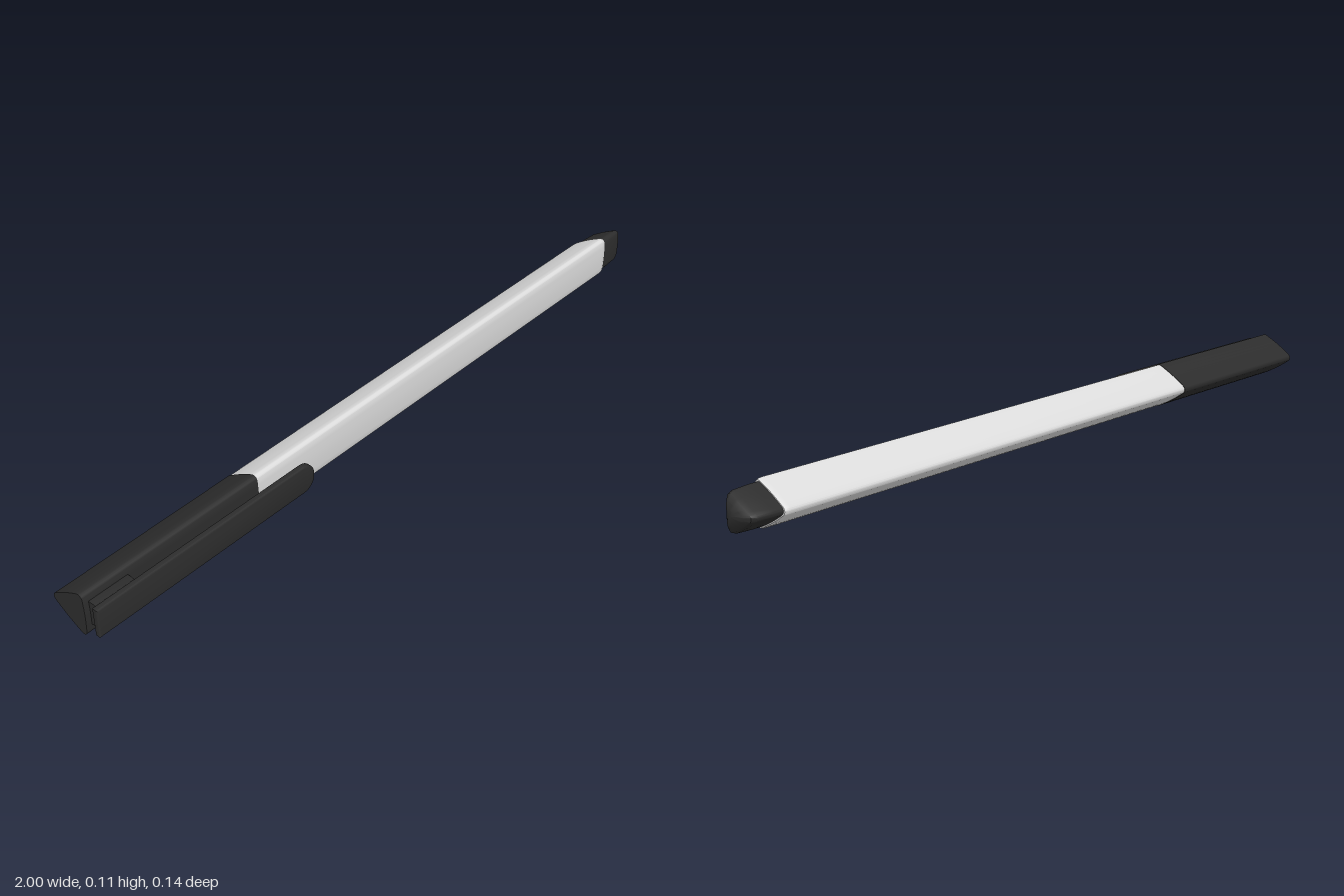
import * as THREE from 'three';
import { toCreasedNormals } from 'three/addons/utils/BufferGeometryUtils.js';

const MID_Y = 0.0575, MID_Z = -0.005;

// Rounded triangle with slightly bulged sides, as [z, y] points about its middle
function triangleOutline(radius = 0.0125, bulge = 0.002) {
  const corners = [[0.0175, 0.1025], [-0.0585, 0.0575], [0.0175, 0.0125]];
  const normalAngle = (a, b) => Math.atan2(-(b[0] - a[0]), b[1] - a[1]);
  const points = [];
  corners.forEach((corner, i) => {
    const prev = corners[(i + 2) % 3], next = corners[(i + 1) % 3];
    const from = normalAngle(prev, corner), to = normalAngle(corner, next);
    const turn = (to - from + Math.PI * 4) % (Math.PI * 2);
    for (let k = 0; k <= 8; k++) {
      const a = from + (turn * k) / 8;
      points.push([corner[0] + radius * Math.cos(a), corner[1] + radius * Math.sin(a)]);
    }
    for (let k = 1; k < 8; k++) {
      const t = k / 8, r = radius + bulge * Math.sin(Math.PI * t);
      points.push([
        corner[0] + (next[0] - corner[0]) * t + r * Math.cos(to),
        corner[1] + (next[1] - corner[1]) * t + r * Math.sin(to),
      ]);
    }
  });
  return points.map(([z, y]) => [z - MID_Z, y - MID_Y]);
}

// Loft the outline along x through [x, scale] stations; scale 0 closes an end
function loft(stations) {
  const outline = triangleOutline(), n = outline.length;
  const positions = [], index = [];
  for (const [x, s] of stations) {
    for (const [z, y] of outline) positions.push(x, MID_Y + y * s, MID_Z + z * s);
  }
  for (let i = 0; i < stations.length - 1; i++) {
    for (let j = 0; j < n; j++) {
      const k = (j + 1) % n;
      const a = i * n + j, b = i * n + k, c = a + n, d = b + n;
      if (stations[i + 1][1] > 0) index.push(c, d, b);
      if (stations[i][1] > 0) index.push(c, b, a);
    }
  }
  const geometry = new THREE.BufferGeometry();
  geometry.setAttribute('position', new THREE.Float32BufferAttribute(positions, 3));
  geometry.setIndex(index);
  return toCreasedNormals(geometry, 0.5);
}

// Flat plate in the xy plane with softened edges and rounded corners at its +x end
function plate(x0, x1, y0, y1, z0, z1, round, bevel) {
  const l = x0 + bevel, r = x1 - bevel, b = y0 + bevel, t = y1 - bevel;
  const shape = new THREE.Shape();
  shape.moveTo(l, b);
  shape.lineTo(r - round, b);
  shape.absarc(r - round, b + round, round, -Math.PI / 2, 0, false);
  shape.absarc(r - round, t - round, round, 0, Math.PI / 2, false);
  shape.lineTo(l, t);
  const geometry = new THREE.ExtrudeGeometry(shape, {
    depth: z1 - z0 - 2 * bevel, bevelEnabled: true, bevelSize: bevel,
    bevelThickness: bevel, bevelSegments: 3, curveSegments: 10,
  });
  geometry.translate(0, 0, z0 + bevel);
  return toCreasedNormals(geometry, 0.6);
}

export function createModel() {
  const black = new THREE.MeshStandardMaterial({ color: 0x2d2d2d });
  black.name = 'black plastic';
  const white = new THREE.MeshStandardMaterial({ color: 0xdcdcdc });
  white.name = 'white plastic';

  const pen = new THREE.Group();
  pen.name = 'pen';
  const add = (name, geometry, material) => {
    const mesh = new THREE.Mesh(geometry, material);
    mesh.name = name;
    pen.add(mesh);
  };

  // Body
  add('cap', loft([[-1, 0], [-1, 1], [-0.48, 1], [-0.48, 0]]), black);
  add('barrel', loft([[-0.5, 0], [-0.5, 0.975], [0.892, 0.975], [0.901, 0.96], [0.906, 0.92], [0.906, 0]]), white);
  add('endPlug', loft([[0.89, 0], [0.89, 0.86], [0.93, 0.86], [0.972, 0.82], [0.984, 0.74],
    [0.993, 0.52], [0.998, 0.26], [1, 0]]), black);

  // Clip and the block that joins it to the cap
  add('clip', plate(-0.997, -0.335, 0.02, 0.098, 0.055, 0.072, 0.032, 0.004), black);
  add('clipMount', plate(-0.985, -0.873, 0.027, 0.093, 0.024, 0.06, 0.004, 0.002), black);
  return pen;
}
